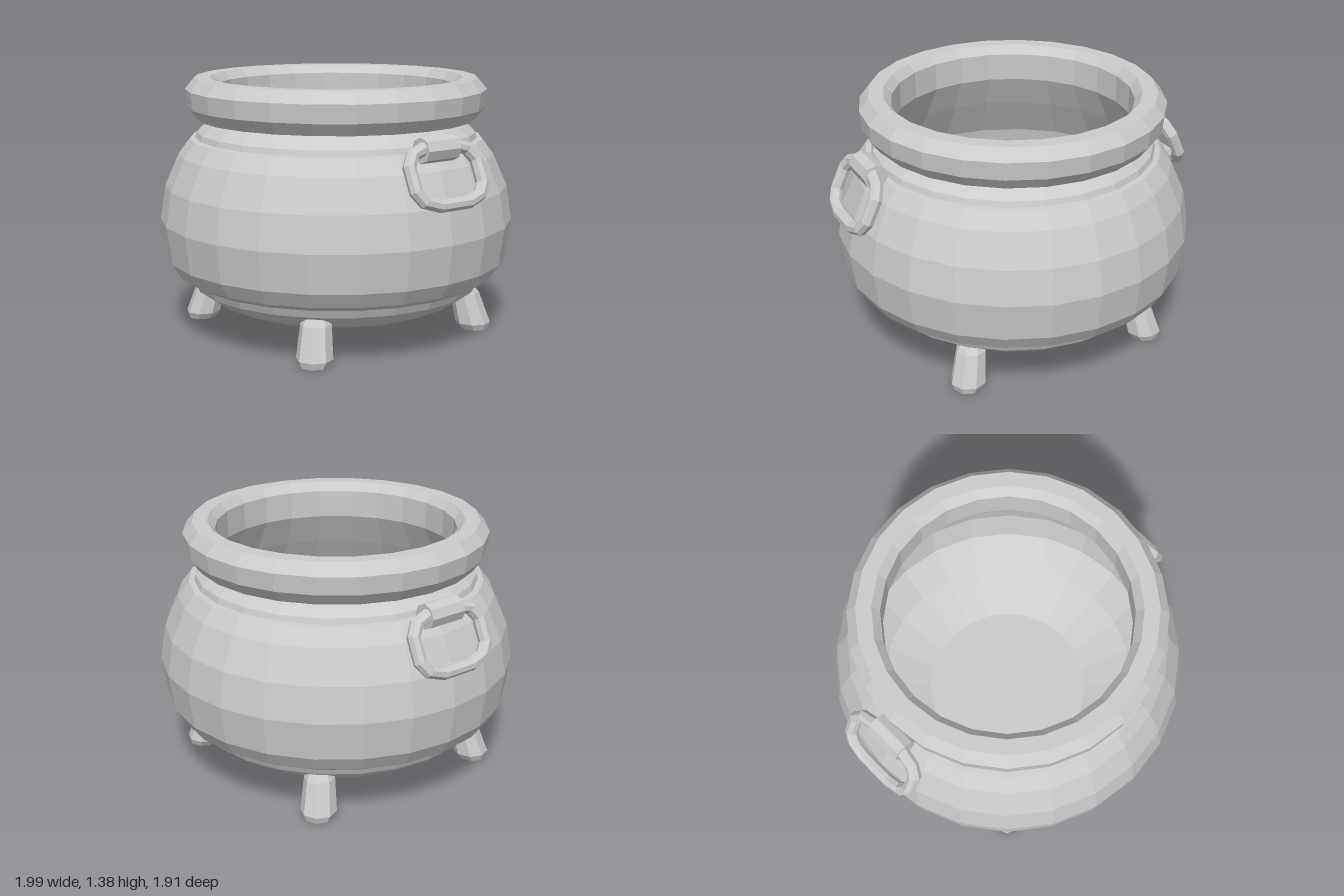
import * as THREE from 'three';

const material = new THREE.MeshStandardMaterial({ color: 0xcccccc, flatShading: true });

function lathe(name, profile, sides) {
  const points = profile.map(([r, y]) => new THREE.Vector2(r, y));
  const mesh = new THREE.Mesh(new THREE.LatheGeometry(points, sides), material);
  mesh.name = name;
  return mesh;
}

// Stout octagonal foot, sheared so that it splays outwards and stays flat on the ground
function makeLeg(angle) {
  const leg = lathe('leg', [[0, 0], [0.075, 0], [0.095, 0.035], [0.08, 0.2], [0.06, 0.24], [0, 0.24]], 8);
  leg.geometry.rotateY(Math.PI / 4);
  const p = leg.geometry.attributes.position;
  for (let i = 0; i < p.count; i++) p.setZ(i, p.getZ(i) + 0.77 - 0.29 * p.getY(i));
  leg.rotation.y = angle;
  return leg;
}

// Rounded-rectangle ring: a torus whose centre line is squared off
function ringGeometry(halfWidth, halfHeight, tube) {
  const geometry = new THREE.TorusGeometry(1, tube, 8, 12);
  geometry.rotateZ(Math.PI / 12);
  const p = geometry.attributes.position;
  const square = (v) => Math.sign(v) * Math.abs(v) ** 0.65;
  for (let i = 0; i < p.count; i++) {
    const x = p.getX(i), y = p.getY(i), d = Math.hypot(x, y);
    const c = x / d, s = y / d, offset = d - 1;
    p.setXY(i, halfWidth * square(c) + offset * c, halfHeight * square(s) + offset * s);
  }
  return geometry;
}

// Hanging ring with its clip, leaning away from the shoulder
function makeHandle(side) {
  const handle = new THREE.Group();
  handle.name = side > 0 ? 'leftHandle' : 'rightHandle';

  const ring = new THREE.Mesh(ringGeometry(0.222, 0.15, 0.035), material);
  ring.name = 'handleRing';
  ring.position.set(0, 0.96, 0.9);
  ring.rotation.x = -0.43;

  const clipShape = new THREE.CylinderGeometry(0.066, 0.066, 0.21, 8);
  clipShape.rotateY(Math.PI / 8);
  clipShape.rotateZ(Math.PI / 2);
  const clip = new THREE.Mesh(clipShape, material);
  clip.name = 'handleClip';
  clip.position.set(0, 1.08, 0.825);
  clip.rotation.x = -0.43;

  handle.add(ring, clip);
  handle.rotation.y = side * Math.PI / 2;
  return handle;
}

export function createModel() {
  const model = new THREE.Group();
  model.name = 'cauldron';

  // Pot wall: up the outside, over the rim and down the inside
  model.add(lathe('pot', [
    [0, 0.07], [0.22, 0.08], [0.43, 0.105], [0.58, 0.14], [0.69, 0.185],   // underside
    [0.78, 0.25], [0.8, 0.295], [0.825, 0.3],                              // lower band
    [0.875, 0.33], [0.925, 0.41], [0.955, 0.615], [0.925, 0.8], [0.85, 0.97], [0.79, 1.05], // belly
    [0.76, 1.055], [0.75, 1.085], [0.67, 1.15],                            // neck
    [0.75, 1.155], [0.8, 1.22], [0.81, 1.315], [0.76, 1.375], [0.68, 1.375], [0.64, 1.33], // rim
    [0.64, 1.18], [0.73, 1.0], [0.86, 0.77], [0.89, 0.61], [0.86, 0.43],   // inner wall
    [0.72, 0.28], [0.455, 0.16], [0, 0.16],                                // inner floor
  ], 24));

  for (let i = 0; i < 4; i++) model.add(makeLeg(Math.PI / 4 + i * Math.PI / 2));
  for (const side of [1, -1]) model.add(makeHandle(side));
  return model;
}
